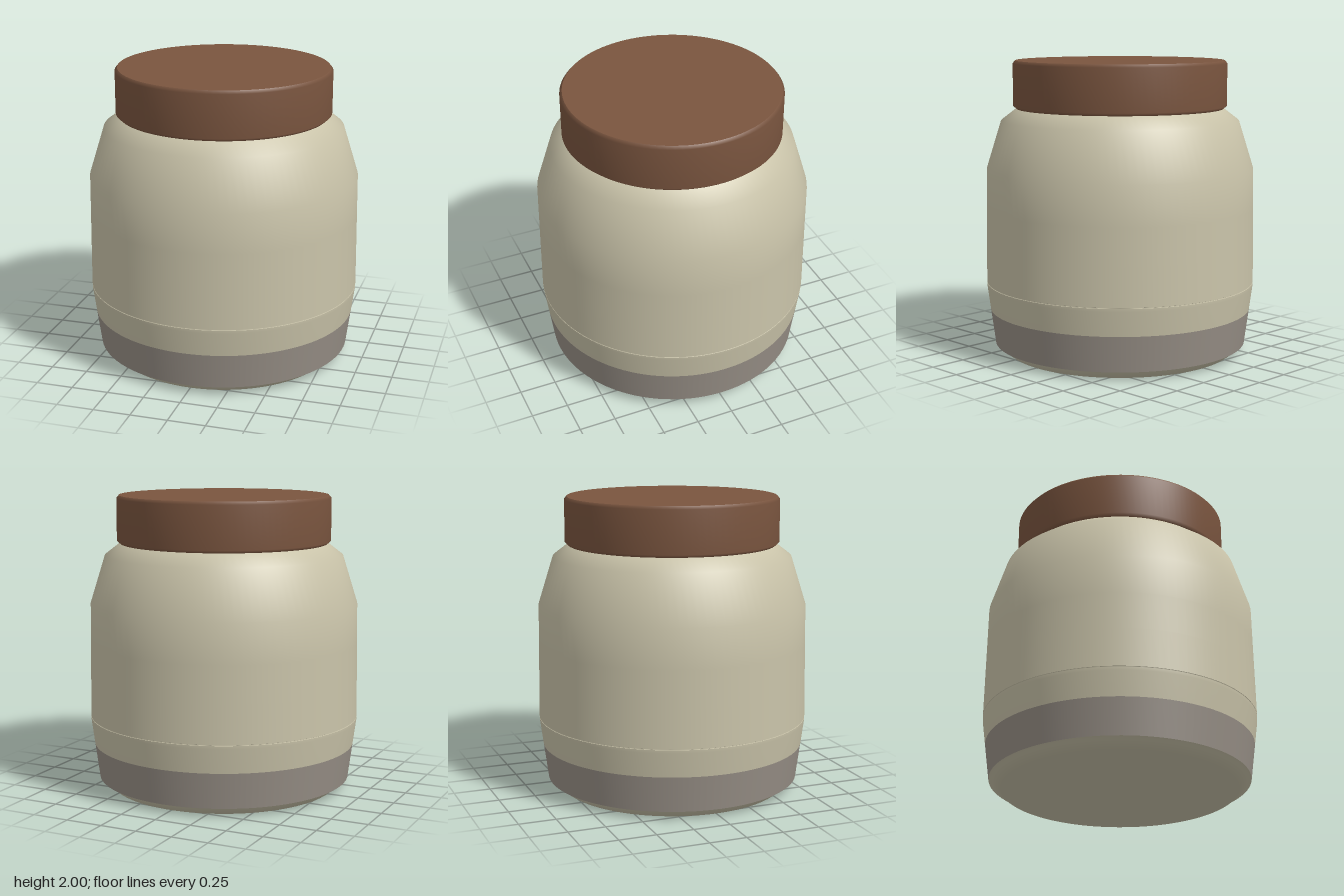
import * as THREE from 'three';

const SEGMENTS = 96;

function material(name, color) {
  const m = new THREE.MeshStandardMaterial({ color });
  m.name = name;
  return m;
}

// Revolve a profile of [radius, height] pairs, listed bottom to top.
function turned(name, mat, profile) {
  const points = profile.map(([r, y]) => new THREE.Vector2(r, y));
  const mesh = new THREE.Mesh(new THREE.LatheGeometry(points, SEGMENTS), mat);
  mesh.name = name;
  return mesh;
}

export function createModel() {
  const cream = material('cream glaze', 0xc9c3a9);
  const grey = material('grey clay', 0x989087);
  const brown = material('brown wood', 0x7a553f);

  // Jar: rounded foot, grey base band, lower wall, groove and main wall
  const jar = new THREE.Group();
  jar.name = 'jar';
  jar.add(
    turned('foot', cream, [[0, 0], [0.78, 0], [0.84, 0.045], [0.865, 0.06]]),
    turned('baseBand', grey, [[0.865, 0.06], [0.897, 0.3]]),
    turned('lowerWall', cream, [[0.897, 0.3], [0.919, 0.465], [0.92, 0.486]]),
    turned('groove', cream, [[0.92, 0.486], [0.913, 0.489], [0.92, 0.492]]),
    turned('wall', cream, [
      [0.92, 0.492], [0.917, 0.75], [0.914, 1.0], [0.911, 1.27], [0.81, 1.595], [0.7, 1.68],
    ]),
  );

  // Lid: flat faces with a small bevel at both rims
  const lid = new THREE.Group();
  lid.name = 'lid';
  lid.add(
    turned('lidUnderside', brown, [[0, 1.675], [0.705, 1.675]]),
    turned('lidSide', brown, [[0.705, 1.675], [0.727, 1.695], [0.727, 1.98], [0.71, 2]]),
    turned('lidTop', brown, [[0.71, 2], [0, 2]]),
  );

  const model = new THREE.Group();
  model.name = 'lidded jar';
  model.add(jar, lid);
  return model;
}
